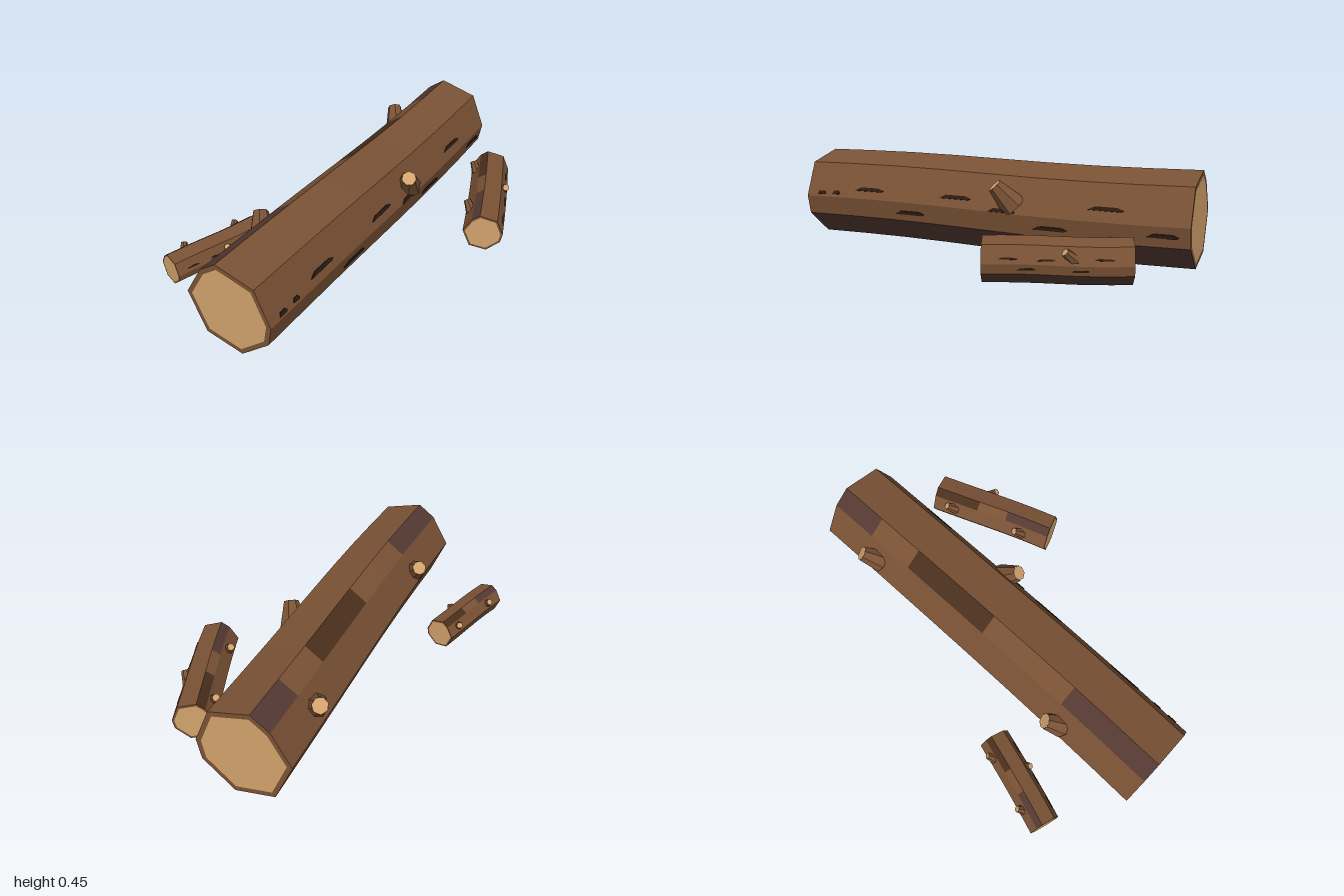
import * as THREE from 'three';

const mat = (name, color) => Object.assign(new THREE.MeshStandardMaterial({ color }), { name });

// Log cross-section as [z, y], starting at the top and going round by the back
const PROFILE = [[-0.043, 0.218], [-0.127, 0.158], [-0.215, 0.012], [-0.135, -0.175],
  [0.05, -0.213], [0.195, -0.092], [0.215, 0.003], [0.145, 0.17]];
const SEGMENTS = 8;

export function createModel() {
  const bark = mat('bark', 0x7a5235);
  const wood = mat('cutWood', 0xd2a26c);
  const damp = mat('dampBark', 0x543932);
  const dark = mat('darkBark', 0x4a2f1c);
  const crack = mat('crack', 0x2b1b12);
  const model = new THREE.Group();
  model.name = 'fallenLogs';

  // Slight bend of the log along its length (u runs from -1 to 1)
  const bend = (u) => ({ y: -0.007 * Math.sin(u * Math.PI), z: 0.01 * (1 - u * u) });

  // Thin tapered sliver used for every bark crack, one unit long and high
  const sliver = new THREE.Shape([[-0.5, -0.5], [0.42, -0.5], [0.5, -0.1], [0.32, 0.5], [-0.3, 0.5]]
    .map(([x, y]) => new THREE.Vector2(x, y)));
  const sliverGeometry = new THREE.ExtrudeGeometry(sliver, { depth: 1, bevelEnabled: false });
  sliverGeometry.translate(0, 0, -0.5);

  function addLog(name, from, to, y, scale, patches, cracks) {
    const log = new THREE.Group();
    log.name = name;
    const dx = to[0] - from[0], dz = to[1] - from[1];
    const length = Math.hypot(dx, dz);
    log.position.set((from[0] + to[0]) / 2, y, (from[1] + to[1]) / 2);
    log.rotation.y = Math.atan2(-dz, dx);

    const point = (i, k, inset = 1) => {
      const u = (i / SEGMENTS) * 2 - 1, b = bend(u), [pz, py] = PROFILE[k % 8];
      return [u * length / 2, (py * inset + b.y) * scale, (pz * inset + b.z) * scale];
    };
    const bins = new Map([[bark, []], [wood, []], [damp, []], [dark, []]]);
    const quad = (m, a, b, c, d) => bins.get(m).push(...a, ...b, ...c, ...a, ...c, ...d);

    // Bark facets: patches on the upper back facet, damp bark underneath
    for (let i = 0; i < SEGMENTS; i++) {
      for (let k = 0; k < 8; k++) {
        const m = (k === 0 && patches[i]) || (k === 3 || k === 4 ? damp : bark);
        quad(m, point(i, k), point(i + 1, k), point(i + 1, k + 1), point(i, k + 1));
      }
    }
    // Cut ends with a rim of bark
    for (const i of [0, SEGMENTS]) {
      for (let k = 0; k < 8; k++) {
        const [p, q] = i ? [k + 1, k] : [k, k + 1];
        quad(bark, point(i, p), point(i, q), point(i, q, 0.89), point(i, p, 0.89));
        bins.get(wood).push(...point(i, 0, 0), ...point(i, p, 0.89), ...point(i, q, 0.89));
      }
    }
    const names = new Map([[bark, 'bark'], [wood, 'cutEnds'], [damp, 'dampBark'], [dark, 'darkPatches']]);
    for (const [m, data] of bins) {
      const g = new THREE.BufferGeometry();
      g.setAttribute('position', new THREE.Float32BufferAttribute(data, 3));
      g.computeVertexNormals();
      const mesh = new THREE.Mesh(g, m);
      mesh.name = names.get(m);
      log.add(mesh);
    }

    // Thin cracks on the front facets: [u, facet, position across facet, length]
    for (const [u, k, t, size] of cracks) {
      const a = PROFILE[k], b = PROFILE[(k + 1) % 8], o = bend(u);
      const ez = b[0] - a[0], ey = b[1] - a[1];
      const mesh = new THREE.Mesh(sliverGeometry, crack);
      mesh.scale.set(size * scale, 0.018 * scale, 0.009 * scale);
      mesh.position.set(u * length / 2, (a[1] + ey * t + o.y) * scale, (a[0] + ez * t + o.z) * scale);
      mesh.rotation.x = Math.atan2(ez, ey);
      mesh.name = 'barkCrack';
      log.add(mesh);
    }
    model.add(log);
  }

  // Tapered branch stub with a cut tip
  function addStub(base, tip, rBase, rTip) {
    const a = new THREE.Vector3(...base), b = new THREE.Vector3(...tip);
    const dir = b.clone().sub(a), h = dir.length();
    const stub = new THREE.Group();
    stub.name = 'branchStub';
    const side = new THREE.Mesh(new THREE.CylinderGeometry(rTip, rBase, h, 7, 1, true).toNonIndexed(), bark);
    side.geometry.computeVertexNormals();
    side.name = 'stubBark';
    const end = new THREE.Mesh(new THREE.CircleGeometry(rTip, 7), wood);
    end.geometry.rotateX(-Math.PI / 2).rotateY(Math.PI / 2);
    end.position.y = h / 2;
    end.name = 'stubCut';
    stub.add(side, end);
    stub.position.copy(a).add(b).multiplyScalar(0.5);
    stub.quaternion.setFromUnitVectors(new THREE.Vector3(0, 1, 0), dir.normalize());
    model.add(stub);
  }

  addLog('bigLog', [-0.98, 0.02], [0.98, -0.155], 0.225, 1,
    [damp, damp, null, null, dark, dark, null, damp],
    [[-0.62, 6, 0.27, 0.165], [-0.13, 6, 0.28, 0.165], [0.62, 6, 0.34, 0.165], [0.12, 6, 0.06, 0.14],
      [-0.91, 6, 0.11, 0.05], [-0.82, 6, 0.13, 0.04], [-0.38, 5, 0.45, 0.165], [0.36, 5, 0.45, 0.165],
      [0.88, 5, 0.55, 0.14]]);
  const smallPatches = [damp, damp, damp, null, null, dark, dark, dark];
  const smallCracks = [[-0.65, 6, 0.28, 0.18], [-0.15, 6, 0.25, 0.16], [0.6, 6, 0.35, 0.18],
    [-0.4, 5, 0.5, 0.16], [0.3, 5, 0.5, 0.16]];
  addLog('frontLog', [0.245, 0.502], [0.81, 0.228], 0.103, 0.45, smallPatches, smallCracks);
  addLog('backLog', [-0.825, -0.525], [-0.365, -0.43], 0.078, 0.345, smallPatches, smallCracks);

  // Stubs on the big log
  addStub([0.185, 0.255, 0.1], [0.11, 0.355, 0.155], 0.066, 0.036);
  addStub([-0.56, 0.275, -0.185], [-0.5, 0.34, -0.24], 0.055, 0.036);
  addStub([0.635, 0.275, -0.285], [0.7, 0.345, -0.342], 0.055, 0.036);
  // Stubs on the small front log
  addStub([0.63, 0.11, 0.39], [0.595, 0.16, 0.436], 0.03, 0.018);
  addStub([0.335, 0.13, 0.385], [0.358, 0.175, 0.345], 0.027, 0.018);
  addStub([0.675, 0.13, 0.22], [0.7, 0.175, 0.182], 0.027, 0.018);
  // Stubs on the small back log
  addStub([-0.56, 0.085, -0.415], [-0.585, 0.12, -0.396], 0.023, 0.015);
  addStub([-0.715, 0.1, -0.55], [-0.69, 0.13, -0.575], 0.023, 0.015);
  addStub([-0.445, 0.1, -0.495], [-0.415, 0.125, -0.515], 0.023, 0.015);
  return model;
}
